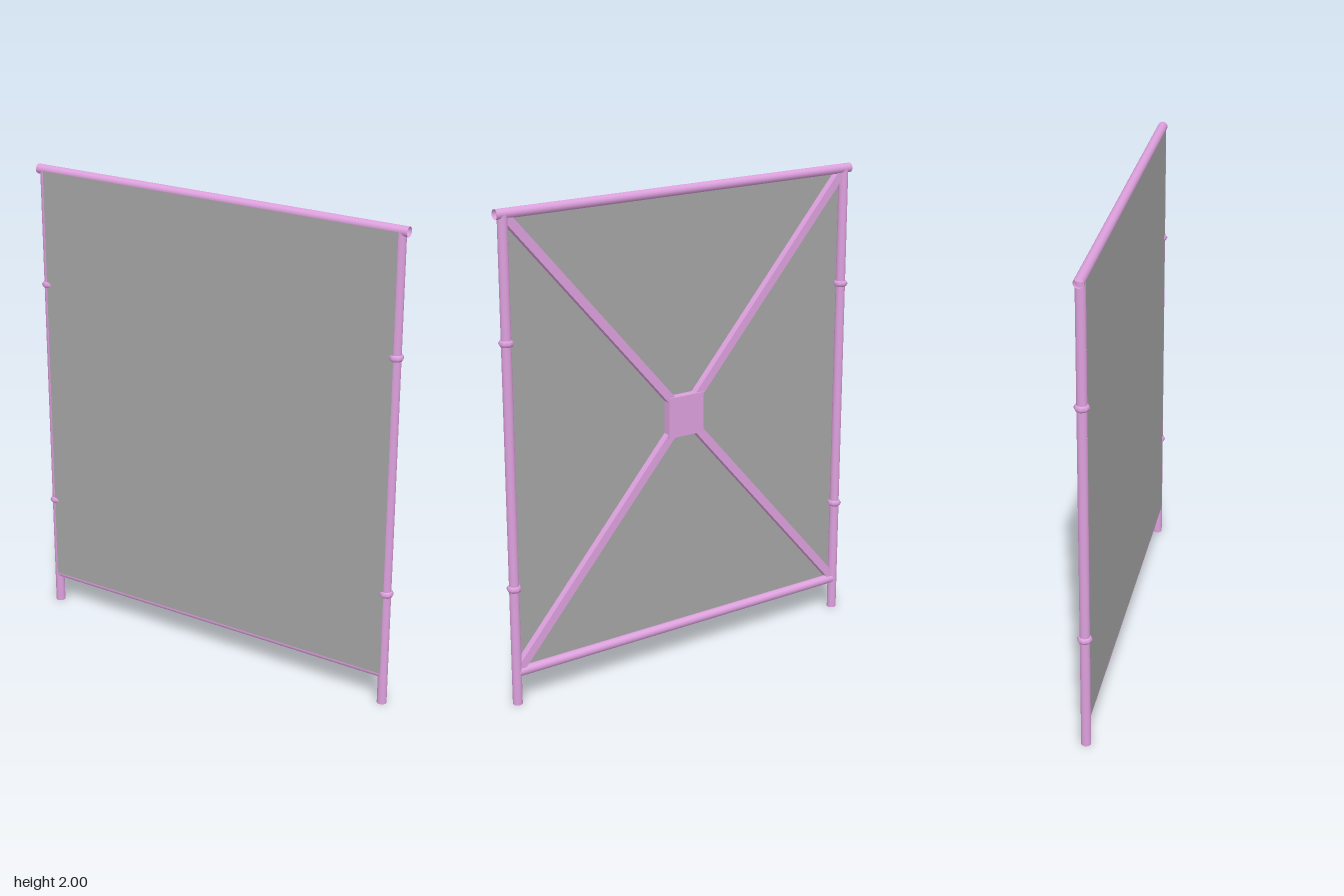
import * as THREE from 'three';

export function createModel() {
  const model = new THREE.Group();
  const frameMat = new THREE.MeshStandardMaterial({ color: 0xdda0dd, side: THREE.DoubleSide });
  frameMat.name = 'plum frame';
  const panelMat = new THREE.MeshStandardMaterial({ color: 0xa5a5a5, side: THREE.DoubleSide });
  panelMat.name = 'grey panel';

  const R = 0.02, postX = 0.818, topY = 1.98, lowY = 0.137;
  const midY = (topY + lowY) / 2;

  const add = (name, geometry, material, x, y, z) => {
    const mesh = new THREE.Mesh(geometry, material);
    mesh.name = name;
    mesh.position.set(x, y, z);
    model.add(mesh);
    return mesh;
  };
  const tube = (length, open) => new THREE.CylinderGeometry(R, R, length, 16, 1, open);

  // Upright posts with two clamp rings each
  for (const s of [-1, 1]) {
    const side = s > 0 ? 'left' : 'right';
    add(side + 'Post', tube(topY, false), frameMat, s * postX, topY / 2, 0);
    for (const y of [0.497, 1.49]) {
      const ring = new THREE.TorusGeometry(0.017, 0.014, 6, 8);
      ring.rotateX(Math.PI / 2);
      add(side + 'ClampRing', ring, frameMat, s * postX, y, 0);
    }
  }

  // Open-ended top rail and the lower rail between the posts
  add('topRail', tube(1.7, true), frameMat, 0, topY, 0).rotation.z = Math.PI / 2;
  add('bottomRail', tube(2 * postX, true), frameMat, 0, lowY, 0).rotation.z = Math.PI / 2;

  // Sheet fixed to the front of the frame
  add('panel', new THREE.PlaneGeometry(1.63, topY - lowY), panelMat, 0, midY, 0.0195);

  // Four diagonal braces behind the sheet, running from the hub to the corners
  const dx = postX - 0.01, dy = (topY - lowY) / 2 - 0.01;
  const length = Math.hypot(dx, dy) - 0.06;
  for (const sx of [-1, 1]) for (const sy of [-1, 1]) {
    const angle = Math.atan2(sy * dy, sx * dx);
    const reach = 0.06 + length / 2;
    add('diagonalBrace', new THREE.BoxGeometry(length, 0.036, 0.03), frameMat,
      Math.cos(angle) * reach, midY + Math.sin(angle) * reach, 0.003).rotation.z = angle;
  }

  // Central hub plate
  add('hubPlate', new THREE.BoxGeometry(0.17, 0.17, 0.036), frameMat, 0, midY, 0);

  return model;
}
